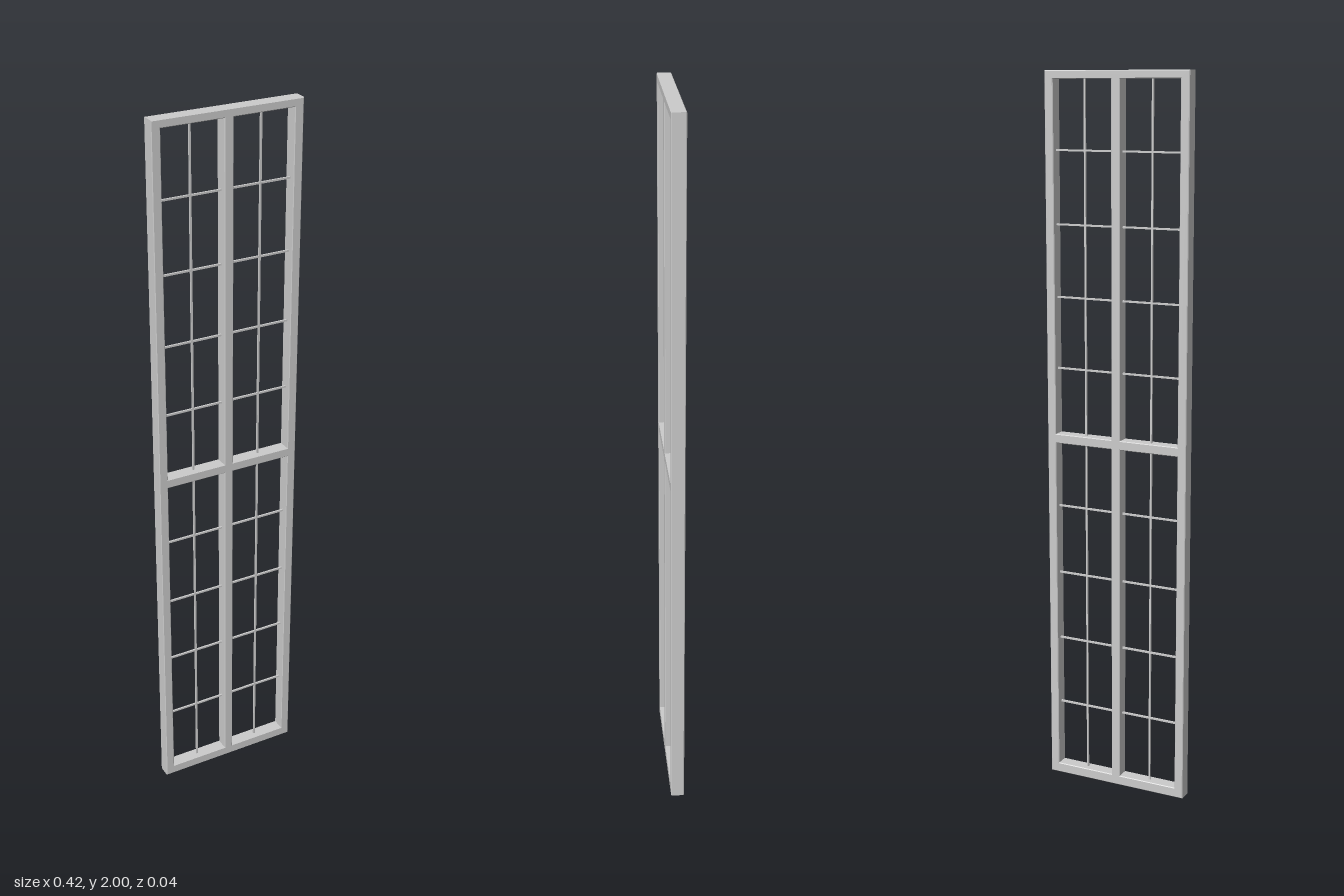
import * as THREE from 'three';

const W = 0.42, H = 2, D = 0.038; // overall width, height, depth
const BEVEL = 0.002;

function rect(path, x0, y0, x1, y1) {
  path.moveTo(x0, y0);
  path.lineTo(x1, y0);
  path.lineTo(x1, y1);
  path.lineTo(x0, y1);
  path.closePath();
  return path;
}

export function createModel() {
  const group = new THREE.Group();
  group.name = 'latticeWindow';
  const material = new THREE.MeshStandardMaterial({ color: 0xcccccc });

  const add = (name, geometry, x, y, z) => {
    const mesh = new THREE.Mesh(geometry, material);
    mesh.name = name;
    mesh.position.set(x, y, z);
    group.add(mesh);
  };

  // Frame with stiles, rails, centre mullion and transom around four openings
  const columns = [[-0.185, -0.013], [0.013, 0.185]];
  const rows = [[0.028, 0.992], [1.018, 1.978]];
  const shape = rect(new THREE.Shape(), -W / 2, 0, W / 2, H);
  for (const [x0, x1] of columns) {
    for (const [y0, y1] of rows) {
      shape.holes.push(rect(new THREE.Path(), x0, y0, x1, y1));
    }
  }
  const frame = new THREE.ExtrudeGeometry(shape, {
    depth: D - 2 * BEVEL,
    bevelEnabled: true,
    bevelThickness: BEVEL,
    bevelSize: BEVEL,
    bevelOffset: -BEVEL,
    bevelSegments: 1,
  });
  add('frame', frame, 0, 0, -D / 2 + BEVEL);

  // Thin glazing bars, tucked slightly into the frame
  const bar = 0.005, tuck = 0.004;
  for (const [x0, x1] of columns) {
    const cx = (x0 + x1) / 2;
    for (const [y0, y1] of rows) {
      add('verticalBar', new THREE.BoxGeometry(bar, y1 - y0 + tuck, bar), cx, (y0 + y1) / 2, 0);
    }
    for (let i = 1; i < 10; i++) {
      if (i === 5) continue; // the transom sits here
      add('horizontalBar', new THREE.BoxGeometry(x1 - x0 + tuck, bar, bar), cx, 0.02 + 0.197 * i, 0);
    }
  }
  return group;
}
